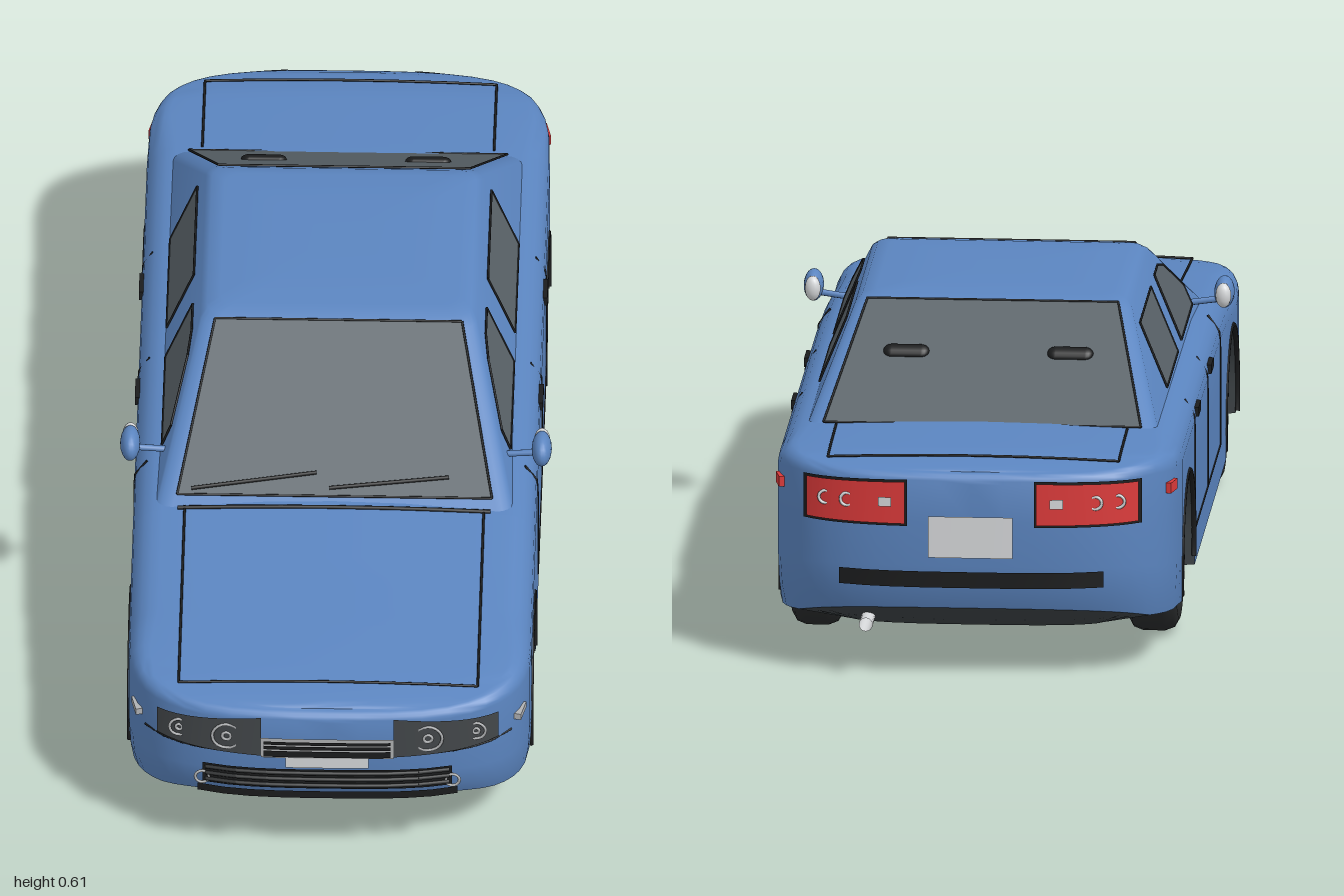
import * as THREE from 'three';
import { toCreasedNormals } from 'three/addons/utils/BufferGeometryUtils.js';

const mat = (name, color) => {
  const m = new THREE.MeshStandardMaterial({ color, side: THREE.DoubleSide });
  m.name = name;
  return m;
};
const paint = mat('blue paint', 0x5b85c0), black = mat('black trim', 0x1b1c1d);
const rubber = mat('dark rubber', 0x292b2c), chassis = mat('chassis grey', 0x3e4447);
const glass = mat('window glass', 0x5b646a), lens = mat('lamp glass', 0x43474a);
const silver = mat('silver', 0xb0b2b4), bright = mat('bright metal', 0xd6d8da);
const red = mat('red lamp', 0xdc3a3a);

const V = (x, y, z) => new THREE.Vector3(x, y, z);
const { clamp, lerp } = THREE.MathUtils;
const HALF = 0.38, END = 0.99, CORNER = 0.72, POW = 3.2, ARCH = 0.16, AXLE = 0.143;
const AXLES = [0.59, -0.55];

// Piecewise linear curve through [z, value] points with descending z
function curve(points, z) {
  for (let i = 1; i < points.length; i++) {
    const [z0, a] = points[i - 1], [z1, b] = points[i];
    if (z >= z1) return lerp(a, b, clamp((z0 - z) / (z0 - z1), 0, 1));
  }
  return points[points.length - 1][1];
}
const deck = z => curve([[1, 0.342], [0.9, 0.355], [0.6, 0.385], [0.4, 0.407], [0.3, 0.415],
  [-0.7, 0.42], [-0.9, 0.415], [-1, 0.4]], z);
const sill = z => curve([[1, 0.15], [0.93, 0.125], [0.8, 0.1], [0.4, 0.085], [-0.4, 0.085],
  [-0.75, 0.095], [-0.9, 0.11], [-1, 0.14]], z);
const archAt = z => AXLES.find(c => Math.abs(z - c) <= ARCH + 1e-6);
const bottom = z => {
  const c = archAt(z);
  return c === undefined ? sill(z) : AXLE + Math.sqrt(Math.max(0, ARCH ** 2 - (z - c) ** 2));
};
// Plan outline: straight sides with rounded ends
const endZ = x => CORNER + (END - CORNER) * Math.max(0, 1 - (Math.abs(x) / HALF) ** POW) ** (1 / POW);
const halfWidth = z => {
  const u = (Math.abs(z) - CORNER) / (END - CORNER);
  return u <= 0 ? HALF : HALF * Math.max(0, 1 - u ** POW) ** (1 / POW);
};
const endness = z => clamp((Math.abs(z) - 0.7) / 0.25, 0, 1);
const shoulder = z => lerp(0.055, 0.02, endness(z));
const bodyX = (y, z) => {
  const r = shoulder(z), s = clamp((y - deck(z) + r) / r, 0, 1);
  return halfWidth(z) - r * (1 - Math.sqrt(1 - s * s));
};

// Surface through a grid of [x, y, z] points
function grid(rows, crease = 0.8) {
  const n = rows[0].length, index = [];
  for (let i = 0; i < rows.length - 1; i++) for (let j = 0; j < n - 1; j++) {
    const a = i * n + j, b = a + n;
    index.push(a, b, a + 1, b, b + 1, a + 1);
  }
  const g = new THREE.BufferGeometry();
  g.setAttribute('position', new THREE.Float32BufferAttribute(rows.flat(2), 3));
  g.setIndex(index);
  return toCreasedNormals(g, crease);
}

export function createModel() {
  const car = new THREE.Group();
  car.name = 'car';
  const add = (name, geo, m, pos = [0, 0, 0], parent = car) => {
    const mesh = new THREE.Mesh(geo, m);
    mesh.name = name;
    mesh.position.set(...pos);
    parent.add(mesh);
    return mesh;
  };
  const rod = (name, a, b, r, m, parent = car) => {
    const mesh = add(name, new THREE.CylinderGeometry(r, r, a.distanceTo(b), 8), m, [0, 0, 0], parent);
    mesh.position.copy(a).lerp(b, 0.5);
    mesh.quaternion.setFromUnitVectors(V(0, 1, 0), b.clone().sub(a).normalize());
  };
  const seam = (name, pts, r = 0.0024, m = black) => {
    for (let i = 1; i < pts.length; i++) rod(name, pts[i - 1], pts[i], r, m);
  };
  const sample = (n, f) => Array.from({ length: n + 1 }, (_, i) => f(i / n));

  // Body shell and underbody, lofted along the length with wheel arches in the lower edge
  const stations = [0.2, 0, -0.2];
  for (const x of [0, 0.06, 0.12, 0.18, 0.23, 0.27, 0.3, 0.325, 0.345, 0.36, 0.37, 0.377])
    stations.push(endZ(x), -endZ(x));
  for (const c of AXLES) {
    stations.push(c + ARCH + 0.001, c - ARCH - 0.001);
    for (let i = 0; i <= 18; i++) stations.push(c + ARCH * Math.cos(i * Math.PI / 18));
  }
  stations.sort((a, b) => b - a);
  const shell = [], under = [];
  for (const z of stations) {
    const w = halfWidth(z), yb = bottom(z), top = deck(z), r = shoulder(z), e = endness(z);
    const v = Math.max(0, (Math.abs(z) - CORNER) / (END - CORNER));
    const n = V((w / HALF) ** (POW - 1) / HALF, 0, Math.sign(z) * v ** (POW - 1) / (END - CORNER)).normalize();
    const inset = (d, y) => [Math.max(0, w - d * n.x), y, z - d * n.z];
    const low = t => lerp(yb, top - r, t);
    const half = [inset(0.02 * e, yb), inset(0.006 * e, low(0.15)), inset(0, low(0.35)), inset(0, low(0.7))];
    for (let k = 0; k <= 5; k++) {
      const a = k * Math.PI / 10;
      half.push(inset(r * (1 - Math.cos(a)), top - r * (1 - Math.sin(a))));
    }
    const rim = half[half.length - 1];
    for (const k of [0.8, 0.4])
      half.push([rim[0] * k, top + 0.008 * (1 - k * k) * w / HALF, rim[2]]);
    const mirror = pts => pts.map(([x, y, zz]) => [-x, y, zz]);
    shell.push([...half, [0, top + 0.008 * w / HALF, rim[2]], ...mirror(half).reverse()]);
    const wellTop = inset(0.13, archAt(z) === undefined ? 0.078 : yb);
    const floor = [half[0], wellTop, [wellTop[0] * 0.98, 0.078, wellTop[2]]];
    under.push([...mirror(floor), ...floor.reverse()]);
  }
  add('bodyShell', grid(shell, 0.9), paint);
  add('underbody', grid(under, 0.5), chassis);

  // Cabin made of rounded rectangular rings, closed by the roof
  const ring = ([y, hx, zf, zr, r]) => sample(20, t => {
    const i = Math.round(t * 20) % 20, q = Math.floor(i / 5);
    const a = q * Math.PI / 2 + (i % 5) * Math.PI / 8;
    return [(q === 0 || q === 3 ? 1 : -1) * (hx - r) + r * Math.cos(a), y,
      (q < 2 ? zf - r : zr + r) + r * Math.sin(a)];
  });
  add('cabin', grid([[0.4, 0.337, 0.43, -0.72, 0.03], [0.585, 0.261, 0.085, -0.42, 0.03],
    [0.597, 0.249, 0.062, -0.4, 0.03], [0.602, 0.225, 0.035, -0.375, 0.03],
    [0.605, 0.12, -0.06, -0.28, 0.03], [0.606, 0, -0.17, -0.17, 0]].map(ring), 0.65), paint);

  // Windows: flat plates laid on the cabin sides, with thin dark seals
  const pane = (name, pts, place) => {
    const g = new THREE.ShapeGeometry(new THREE.Shape(pts.map(p => new THREE.Vector2(...p))));
    const p = g.attributes.position;
    for (let i = 0; i < p.count; i++) p.setXYZ(i, ...place(p.getX(i), p.getY(i)));
    g.computeVertexNormals();
    add(name, g, glass);
    seam(name + 'Seal', [...pts, pts[0]].map(q => V(...place(...q))), 0.0022);
  };
  const frontGlass = (x, y) => [x, y + 0.002, 0.433 - (y - 0.4) * 1.865];
  const rearGlass = (x, y) => [x, y + 0.002, -0.723 + (y - 0.4) * 1.62];
  pane('windshield', [[-0.297, 0.418], [0.297, 0.418], [0.233, 0.592], [-0.233, 0.592]], frontGlass);
  pane('rearWindow', [[-0.3, 0.422], [0.3, 0.422], [0.237, 0.595], [-0.237, 0.595]], rearGlass);
  for (const s of [1, -1]) {
    const side = (z, y) => [s * (0.341 - (y - 0.4) * 0.41), y, z];
    pane('frontSideWindow', [[0.255, 0.43], [-0.022, 0.43], [-0.022, 0.555], [0.06, 0.555], [0.12, 0.54], [0.25, 0.47]], side);
    pane('rearSideWindow', [[-0.115, 0.43], [-0.395, 0.43], [-0.395, 0.555], [-0.115, 0.555]], side);
    // Rear window vents
    const vent = new THREE.CapsuleGeometry(0.016, 0.055, 6, 14).rotateZ(Math.PI / 2).scale(1, 0.6, 1);
    add('rearWindowVent', vent, black, rearGlass(s * 0.155, 0.522)).rotation.x = -0.55;
  }
  for (const [a, b] of [[[-0.27, 0.424], [-0.035, 0.441]], [[-0.01, 0.426], [0.215, 0.438]]])
    rod('wiper', V(...frontGlass(...a)), V(...frontGlass(...b)), 0.004, black);

  // Hood and trunk seams
  const deckY = z => deck(z) + 0.003;
  for (const s of [1, -1]) {
    seam('hoodSeam', sample(5, t => V(s * 0.282, deckY(lerp(0.42, 0.91, t)), lerp(0.42, 0.91, t))));
    seam('trunkSeam', sample(3, t => V(s * 0.275, deckY(lerp(-0.7, -0.92, t)), lerp(-0.7, -0.92, t))));
  }
  for (const [z, w, r] of [[0.91, 0.282, 0.0024], [0.425, 0.295, 0.004], [-0.92, 0.275, 0.0024]])
    seam('crossSeam', sample(6, t => {
      const x = lerp(-w, w, t);
      return V(x, deckY(z) + 0.006 * (1 - (x / w) ** 2), z);
    }), r);

  // Panels that follow the curved nose (s = 1) or tail (s = -1)
  const wrap = (name, s, m, x0, x1, low0, low1, high0, high1, off = 0.006) => add(name, grid(sample(10, t => {
    const x = lerp(x0, x1, t), z = s * (endZ(x) + off);
    return [[x, lerp(low0, low1, t), z], [x, lerp(high0, high1, t), z]];
  })), m);
  const band = (name, s, m, w, y0, y1, off) => wrap(name, s, m, -w, w, y0, y0, y1, y1, off);
  const lampRing = (name, s, x, y, r, m = silver) =>
    add(name, new THREE.TorusGeometry(r, 0.003, 6, 20), m, [x, y, s * (endZ(x) + 0.008)]);
  band('grilleSurround', 1, silver, 0.125, 0.245, 0.29, 0.006);
  for (const [y0, y1] of [[0.25, 0.264], [0.267, 0.275], [0.278, 0.285]])
    band('grilleSlot', 1, black, 0.12, y0, y1, 0.01);
  band('frontPlate', 1, bright, 0.078, 0.222, 0.246, 0.005);
  band('bumperGrille', 1, black, 0.235, 0.176, 0.22, 0.007);
  band('lowerIntake', 1, black, 0.245, 0.152, 0.168, 0.005);
  for (let i = 0; i < 3; i++) seam('grilleBar', sample(8, t => {
    const x = lerp(-0.23, 0.23, t);
    return V(x, 0.184 + i * 0.014, endZ(x) + 0.008);
  }), 0.004, rubber);
  band('rearPlate', -1, bright, 0.08, 0.24, 0.32, 0.006);
  band('rearBumperStrip', -1, black, 0.25, 0.183, 0.214, 0.01);
  for (const s of [1, -1]) {
    wrap('headlight', 1, lens, s * 0.125, s * 0.322, 0.25, 0.258, 0.338, 0.315, 0.008);
    lampRing('mainLamp', 1, s * 0.19, 0.29, 0.027);
    lampRing('mainLampCore', 1, s * 0.19, 0.29, 0.008);
    lampRing('smallLamp', 1, s * 0.28, 0.29, 0.018);
    lampRing('smallLampCore', 1, s * 0.28, 0.29, 0.006);
    lampRing('fogLamp', 1, s * 0.236, 0.187, 0.013);
    seam('bumperSeam', sample(6, t => {
      const x = s * lerp(0.13, 0.345, t);
      return V(x, 0.25, endZ(x));
    }));
    // Tail lamps with a dark surround, two round lights and a small inner bar
    wrap('tailLightSurround', -1, black, s * 0.12, s * 0.32, 0.3, 0.3, 0.39, 0.386, 0.005);
    wrap('tailLight', -1, red, s * 0.124, s * 0.314, 0.305, 0.305, 0.386, 0.382, 0.009);
    for (const x of [0.235, 0.277]) lampRing('tailLampRing', -1, s * x, 0.347, 0.012, bright);
    wrap('reverseLight', -1, bright, s * 0.15, s * 0.175, 0.338, 0.338, 0.356, 0.356, 0.012);
    // Side markers
    const marker = (name, m, y, z, h) => {
      const box = new THREE.BoxGeometry(0.014, h, 0.042);
      add(name, box, m, [s * bodyX(y, z), y, z]).rotation.y = s * -Math.sign(z) * 0.22;
    };
    marker('frontMarker', silver, 0.272, 0.87, 0.013);
    marker('rearMarker', red, 0.352, -0.85, 0.02);

    // Door seams and handles
    const on = (y, z) => V(s * bodyX(y, z), y, z);
    for (const z of [0.275, -0.052, -0.387]) seam('doorSeam', sample(8, t => on(lerp(0.153, 0.405, t), z)));
    seam('doorSeam', [on(0.153, 0.275), on(0.153, -0.387)]);
    for (const z of [0.012, -0.322])
      add('doorHandle', new THREE.BoxGeometry(0.012, 0.018, 0.06), black, [s * bodyX(0.372, z), 0.372, z]);

    // Wing mirror
    rod('mirrorStalk', V(s * 0.32, 0.43, 0.27), V(s * 0.385, 0.438, 0.275), 0.006, paint);
    add('mirrorShell', new THREE.SphereGeometry(1, 20, 14), paint, [s * 0.388, 0.45, 0.28]).scale.set(0.019, 0.03, 0.04);
    add('mirrorGlass', new THREE.SphereGeometry(1, 16, 8), bright, [s * 0.388, 0.45, 0.25]).scale.set(0.015, 0.024, 0.014);

    // Wheels with arch trim
    for (const z of AXLES) {
      const trim = new THREE.TorusGeometry(ARCH + 0.002, 0.005, 6, 32, Math.PI + 0.5);
      add('archTrim', trim.rotateZ(-0.25).rotateY(Math.PI / 2), black, [s * 0.379, AXLE, z]);
      const wheel = new THREE.Group();
      wheel.name = 'wheel';
      wheel.position.set(s * 0.318, AXLE, z);
      wheel.rotation.y = s > 0 ? 0 : Math.PI;
      car.add(wheel);
      const profile = [[0.086, -0.045], [0.12, -0.047], [0.136, -0.038], [0.143, -0.02],
        [0.143, 0.02], [0.136, 0.038], [0.12, 0.047], [0.09, 0.045], [0.086, 0.02]];
      const tyre = new THREE.LatheGeometry(profile.map(p => new THREE.Vector2(...p)), 40);
      add('tyre', tyre.rotateZ(-Math.PI / 2), rubber, [0, 0, 0], wheel);
      add('brakeDisc', new THREE.CylinderGeometry(0.088, 0.088, 0.05, 32).rotateZ(Math.PI / 2), silver, [0, 0, 0], wheel);
      add('rimRing', new THREE.TorusGeometry(0.085, 0.008, 8, 36).rotateY(Math.PI / 2), bright, [0.041, 0, 0], wheel);
      add('hub', new THREE.CylinderGeometry(0.022, 0.024, 0.02, 20).rotateZ(Math.PI / 2), bright, [0.037, 0, 0], wheel);
      for (let i = 0; i < 5; i++) {
        const a = i * Math.PI * 0.4 + Math.PI / 2;
        const at = (r, b) => V(0.036, r * Math.sin(b), r * Math.cos(b));
        for (const d of [-0.13, 0.13]) rod('spoke', at(0.015, a), at(0.085, a + d), 0.009, bright, wheel);
        rod('spokeGroove', at(0.03, a).setX(0.042), at(0.08, a).setX(0.042), 0.003, lens, wheel);
      }
    }
  }

  // Exhaust pipe
  const pipe = new THREE.CylinderGeometry(0.013, 0.013, 0.13, 16, 1, true).rotateX(Math.PI / 2);
  add('exhaust', pipe, bright, [0.2, 0.1, -0.9]);
  return car;
}
